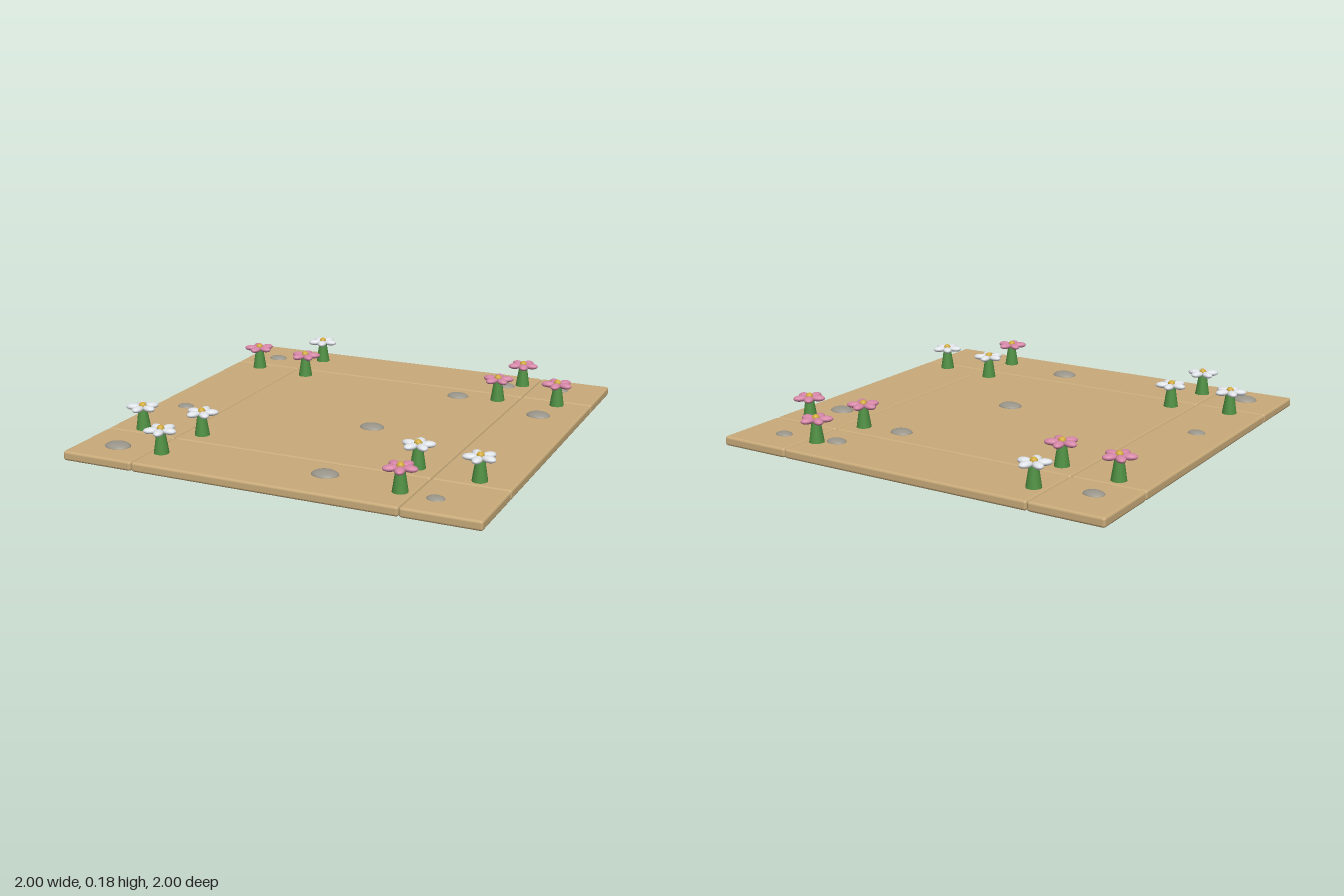
import * as THREE from 'three';
import { RoundedBoxGeometry } from 'three/addons/geometries/RoundedBoxGeometry.js';

const mat = (name, color) => {
  const m = new THREE.MeshStandardMaterial({ color });
  m.name = name;
  return m;
};

export function createModel() {
  const sand = mat('sand', 0xc9ab7a);
  const stone = mat('stone grey', 0x99958a);
  const green = mat('stem green', 0x4f8f42);
  const white = mat('petal white', 0xe9edf2);
  const pink = mat('petal pink', 0xd486a6);
  const yellow = mat('flower yellow', 0xd0aa38);

  const model = new THREE.Group();
  model.name = 'flowerPathTile';

  const add = (parent, name, geometry, material, x, y, z) => {
    const mesh = new THREE.Mesh(geometry, material);
    mesh.name = name;
    mesh.position.set(x, y, z);
    parent.add(mesh);
    return mesh;
  };

  // Ground: three by three slabs with fine seams and softly rounded edges
  const H = 0.045;
  const spans = [[-1, -0.641], [-0.639, 0.637], [0.639, 1]];
  for (const [x0, x1] of spans) {
    for (const [z0, z1] of spans) {
      const slab = new RoundedBoxGeometry(x1 - x0, H, z1 - z0, 2, 0.012);
      add(model, 'groundSlab', slab, sand, (x0 + x1) / 2, H / 2, (z0 + z1) / 2);
    }
  }

  // Pebbles: flattened spheres half sunk in the ground [x, z, half width, half depth]
  const pebbles = [
    [-0.83, -0.78, 0.05, 0.04], [0.505, -0.79, 0.05, 0.04], [0.785, -0.83, 0.043, 0.035],
    [0.337, -0.52, 0.056, 0.046], [0.805, -0.383, 0.06, 0.049], [0.138, 0.117, 0.06, 0.049],
    [-0.84, 0.197, 0.043, 0.035], [-0.812, 0.838, 0.064, 0.051], [0.208, 0.78, 0.064, 0.052],
    [0.743, 0.847, 0.042, 0.034],
  ];
  const ball = new THREE.SphereGeometry(1, 20, 12);
  for (const [x, z, a, b] of pebbles) {
    add(model, 'pebble', ball, stone, x, H - 0.002, z).scale.set(a, a * 0.35, b);
  }

  // Flowers: tapered stem, five oval petals and a round heart
  const stemGeo = new THREE.CylinderGeometry(0.019, 0.036, 0.11, 16);
  const addFlower = (x, z, material, turn) => {
    const flower = new THREE.Group();
    flower.name = 'flower';
    flower.position.set(x, H, z);
    add(flower, 'stem', stemGeo, green, 0, 0.053, 0);
    for (let i = 0; i < 5; i++) {
      const a = THREE.MathUtils.degToRad(turn + i * 72);
      const petal = add(flower, 'petal', ball, material, Math.cos(a) * 0.044, 0.108, Math.sin(a) * 0.044);
      petal.scale.set(0.035, 0.015, 0.023);
      petal.rotation.y = -a;
    }
    add(flower, 'heart', ball, yellow, 0, 0.114, 0).scale.setScalar(0.018);
    model.add(flower);
  };

  // Three flowers around each inner corner of the path
  addFlower(-0.58, -0.84, white, 0);
  addFlower(0.58, -0.84, pink, 0);
  addFlower(-0.58, 0.835, white, 0);
  addFlower(0.58, 0.835, pink, 0);
  for (const sx of [-1, 1]) {
    for (const [sz, material] of [[-1, pink], [1, white]]) {
      addFlower(sx * 0.84, sz * 0.58, material, 90);
      addFlower(sx * 0.542, sz * 0.542, material, 45);
    }
  }
  return model;
}
